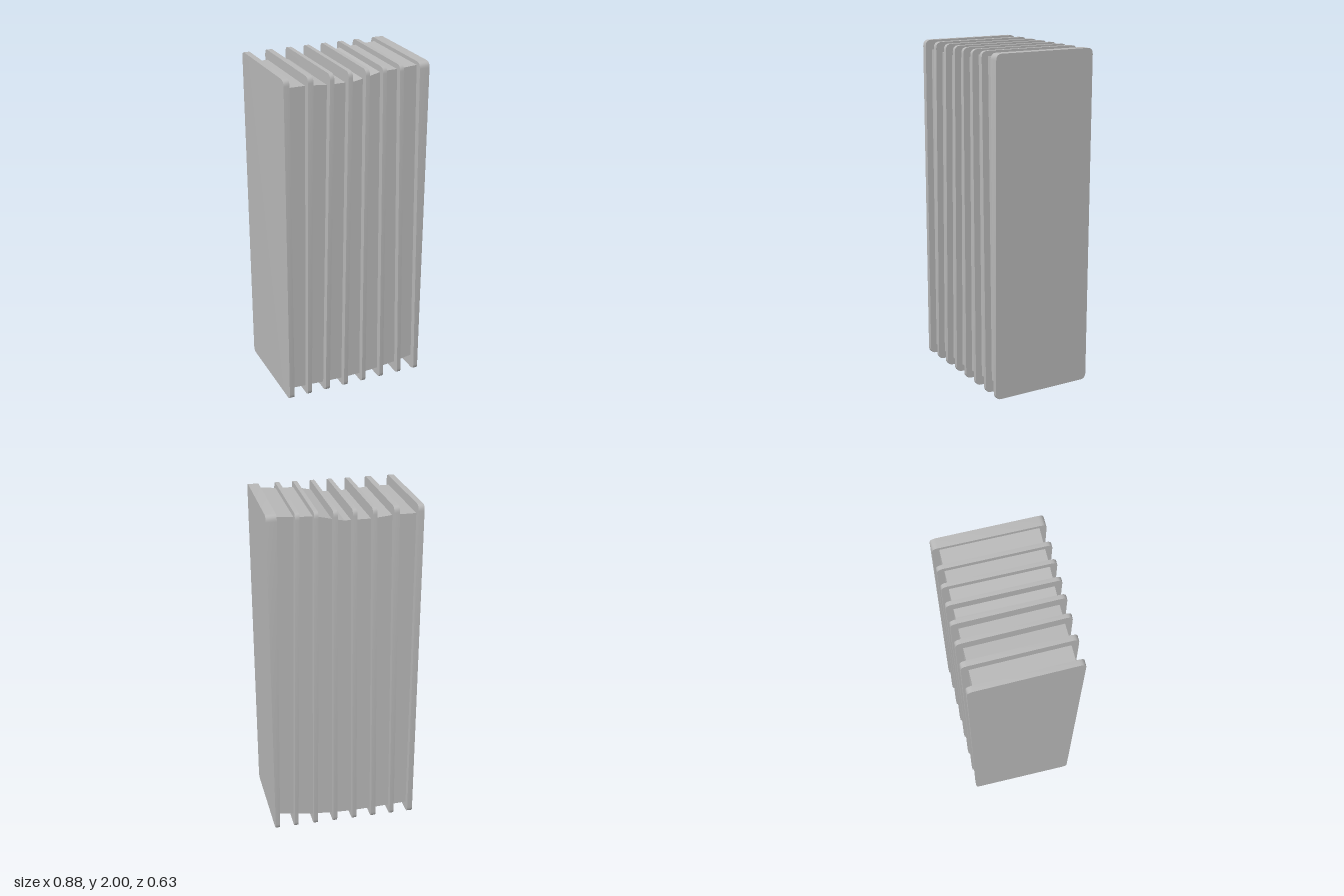
import * as THREE from 'three';
import { toCreasedNormals } from 'three/addons/utils/BufferGeometryUtils.js';

const HALF_DEPTH = 0.313, HEIGHT = 2, RADIUS = 0.035;

// Each fin: [min x, max x] at the top, [min x, max x] at the bottom, x shift from centre to front
const FINS = [
  [-0.438, -0.404, -0.433, -0.402, 0.004],
  [-0.298, -0.266, -0.314, -0.289, 0.004],
  [-0.170, -0.145, -0.198, -0.170, 0.005],
  [-0.059, -0.034, -0.076, -0.050, 0.004],
  [0.047, 0.071, 0.046, 0.070, 0.001],
  [0.152, 0.176, 0.167, 0.192, 0],
  [0.256, 0.281, 0.289, 0.313, 0],
  [0.379, 0.440, 0.404, 0.430, 0],
];

// Rounded rectangle in depth and height
function finOutline() {
  const d = HALF_DEPTH, h = HEIGHT, r = RADIUS;
  const s = new THREE.Shape();
  s.moveTo(-d + r, 0);
  s.lineTo(d - r, 0);
  s.quadraticCurveTo(d, 0, d, r);
  s.lineTo(d, h - r);
  s.quadraticCurveTo(d, h, d - r, h);
  s.lineTo(-d + r, h);
  s.quadraticCurveTo(-d, h, -d, h - r);
  s.lineTo(-d, r);
  s.quadraticCurveTo(-d, 0, -d + r, 0);
  return s;
}

// Thin plate whose sides lean between its top and bottom positions
function finGeometry([top0, top1, bottom0, bottom1, skew]) {
  const g = new THREE.ExtrudeGeometry(finOutline(), { depth: 1, bevelEnabled: false, curveSegments: 4 });
  g.rotateY(Math.PI / 2);
  const p = g.attributes.position;
  for (let i = 0; i < p.count; i++) {
    const t = p.getY(i) / HEIGHT;
    const low = THREE.MathUtils.lerp(bottom0, top0, t);
    const high = THREE.MathUtils.lerp(bottom1, top1, t);
    const x = THREE.MathUtils.lerp(low, high, p.getX(i));
    p.setX(i, x + skew * t * p.getZ(i) / HALF_DEPTH);
  }
  return toCreasedNormals(g, 0.6);
}

// Solid block between the fins, with gently curved top and bottom
function coreGeometry() {
  const outline = [
    [-0.415, 0.055], [-0.3, 0.05], [-0.18, 0.045], [-0.06, 0.042], [0.06, 0.045],
    [0.18, 0.055], [0.3, 0.07], [0.415, 0.09],
    [0.4, 1.98], [0.27, 1.97], [0.165, 1.968], [0.06, 1.943], [0, 1.931],
    [-0.16, 1.931], [-0.28, 1.943], [-0.415, 1.943],
  ].map(([x, y]) => new THREE.Vector2(x, y));
  const g = new THREE.ExtrudeGeometry(new THREE.Shape(outline), { depth: 0.546, bevelEnabled: false });
  g.translate(0, 0, -0.273);
  return g;
}

export function createModel() {
  const model = new THREE.Group();
  model.name = 'finnedBlock';
  const grey = new THREE.MeshStandardMaterial({ color: 0xb8b8b8 });
  grey.name = 'grey';

  const core = new THREE.Mesh(coreGeometry(), grey);
  core.name = 'core';
  model.add(core);

  FINS.forEach((fin, i) => {
    const mesh = new THREE.Mesh(finGeometry(fin), grey);
    mesh.name = `fin${i + 1}`;
    model.add(mesh);
  });
  return model;
}
